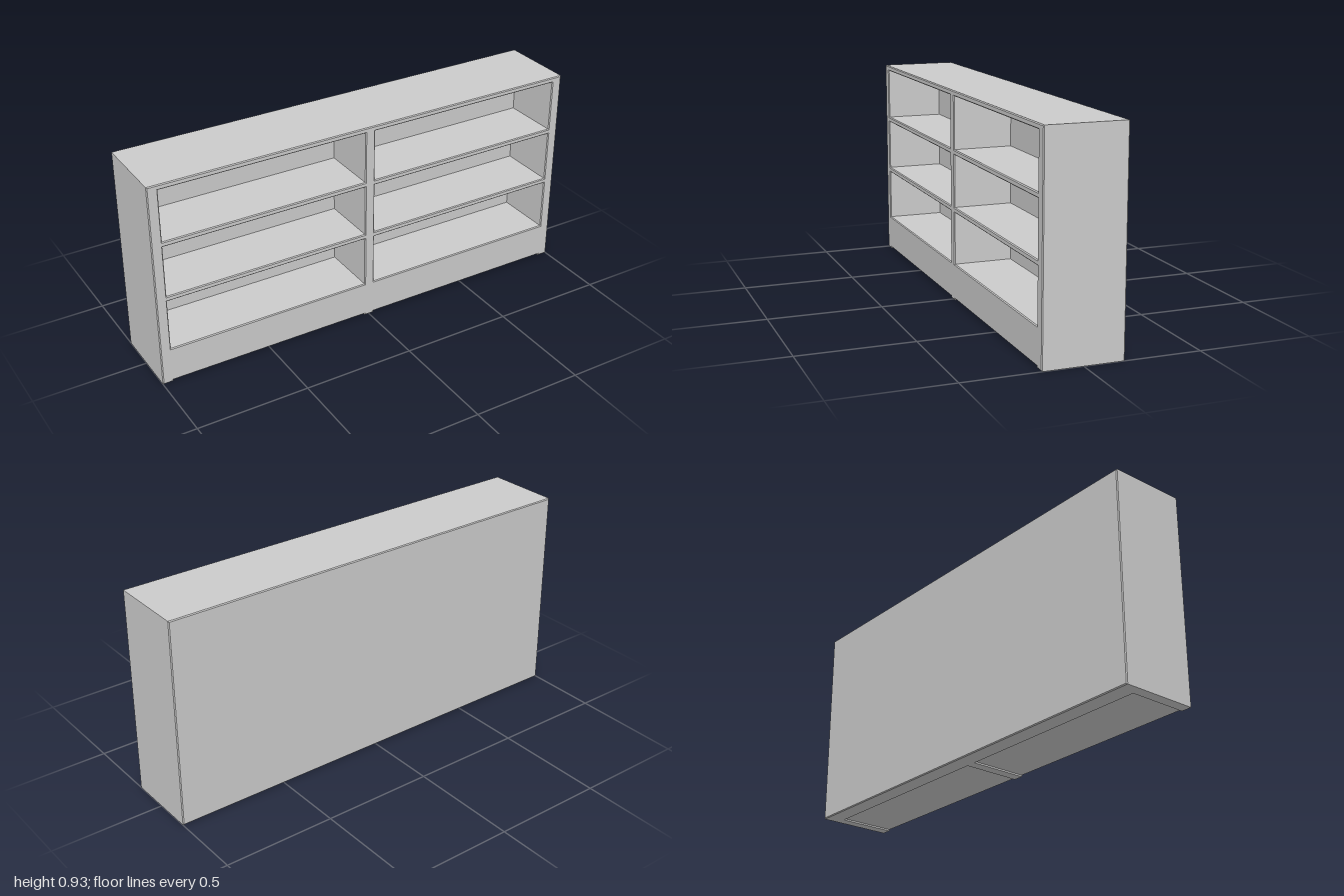
import * as THREE from 'three';

const W = 1, H = 0.93, ZF = 0.173, ZB = -0.173, INNER = -0.09, BEVEL = 0.004;
const BAYS = [[-0.953, -0.023], [0.023, 0.953]];
const SHELVES = [0.165, 0.42, 0.675];
const OPENING = 0.232, GAP = 0.007;

const points = (list) => list.map(([x, y]) => new THREE.Vector2(x, y));

// Extrude an outline between two depths with a fine bevel that stays inside it
function board(name, shape, z0, z1, material) {
  const geometry = new THREE.ExtrudeGeometry(shape, {
    depth: z1 - z0 - 2 * BEVEL, bevelEnabled: true, bevelThickness: BEVEL,
    bevelSize: BEVEL, bevelOffset: -BEVEL, bevelSegments: 1,
  });
  geometry.translate(0, 0, z0 + BEVEL);
  const mesh = new THREE.Mesh(geometry, material);
  mesh.name = name;
  return mesh;
}

export function createModel() {
  const group = new THREE.Group();
  group.name = 'bookcase';
  const material = new THREE.MeshStandardMaterial({ color: 0xcccccc });

  // Carcass outline: uprights reach the floor, the plinth sits just above it
  const outline = [[-W, 0]];
  for (const [a, b] of BAYS) outline.push([a, 0], [a, GAP], [b, GAP], [b, 0]);
  outline.push([W, 0], [W, H], [-W, H]);
  const carcass = new THREE.Shape(points(outline));

  // Six open compartments
  for (const [a, b] of BAYS) {
    for (const y of SHELVES) {
      const t = y + OPENING;
      carcass.holes.push(new THREE.Path(points([[a, y], [a, t], [b, t], [b, y]])));
    }
  }
  group.add(board('carcass', carcass, INNER - 0.01, ZF, material));

  // Thick back closing all compartments
  const back = new THREE.Shape(points([[-W, 0], [W, 0], [W, H], [-W, H]]));
  group.add(board('backPanel', back, ZB, INNER, material));

  return group;
}
